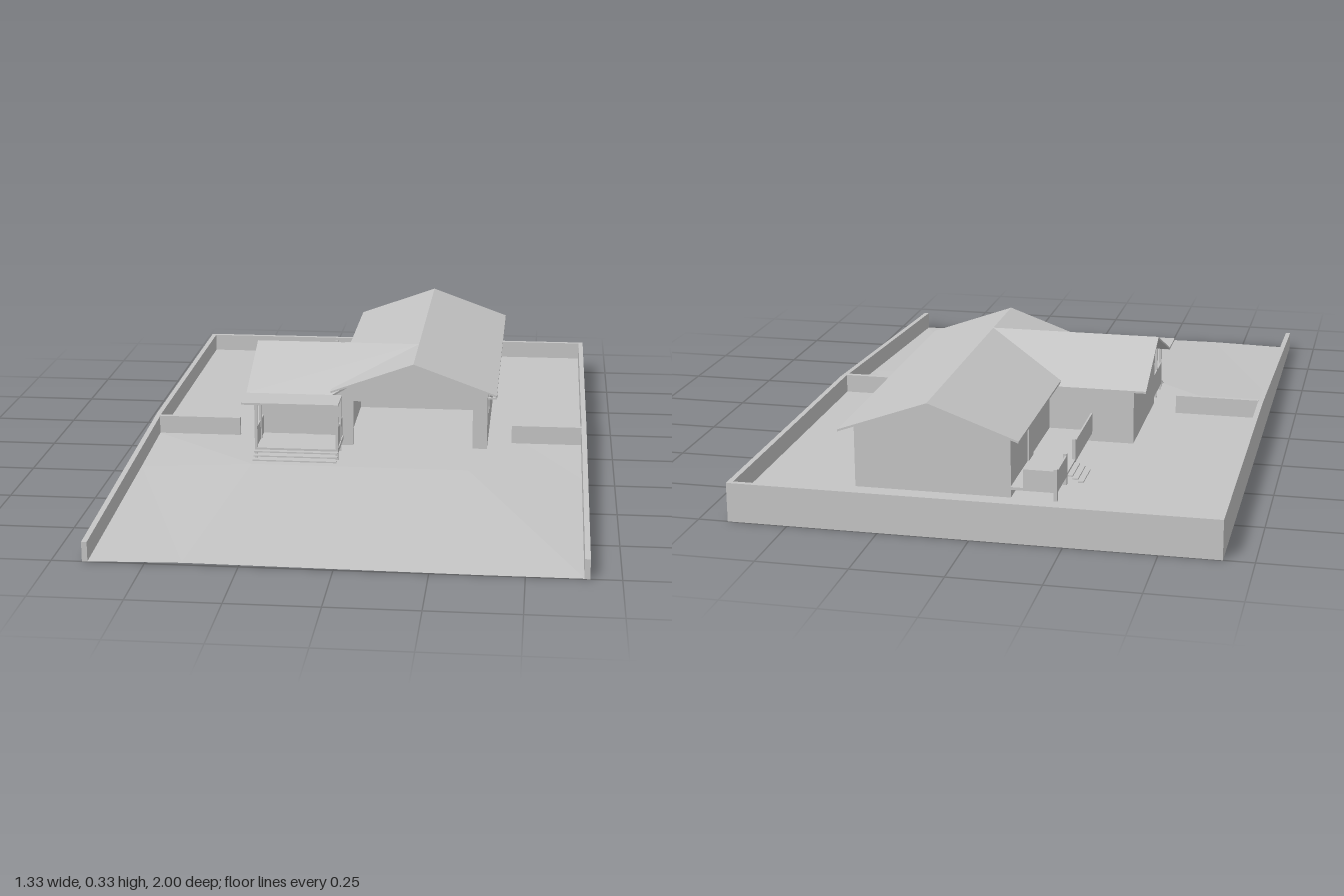
import * as THREE from 'three';

export function createModel() {
  const model = new THREE.Group();
  const grey = new THREE.MeshStandardMaterial({ color: 0xc4c4c4, side: THREE.DoubleSide });
  grey.name = 'plain grey';

  function add(name, geometry) {
    const mesh = new THREE.Mesh(geometry, grey);
    mesh.name = name;
    model.add(mesh);
    return mesh;
  }

  // Box given by its limits on each axis
  function box(name, x0, x1, y0, y1, z0, z1) {
    const g = new THREE.BoxGeometry(x1 - x0, y1 - y0, z1 - z0);
    g.translate((x0 + x1) / 2, (y0 + y1) / 2, (z0 + z1) / 2);
    return add(name, g);
  }

  const rect = (a, b, c, d) => [[a, c], [b, c], [b, d], [a, d]];
  function outline(points, holes = []) {
    const s = new THREE.Shape(points.map(p => new THREE.Vector2(...p)));
    for (const h of holes) s.holes.push(new THREE.Path(h.map(p => new THREE.Vector2(...p))));
    return s;
  }

  // Upright wall from an outline: across x starting at z = at, or along z starting at x = at
  function wall(name, axis, at, points, holes, depth = 0.012) {
    const g = new THREE.ExtrudeGeometry(outline(points, holes), { depth, bevelEnabled: false });
    if (axis === 'x') g.translate(0, 0, at);
    else g.rotateY(-Math.PI / 2).translate(at + depth, 0, 0);
    return add(name, g);
  }

  function surface(name, positions) {
    const g = new THREE.BufferGeometry();
    g.setAttribute('position', new THREE.Float32BufferAttribute(positions, 3));
    g.computeVertexNormals();
    return add(name, g);
  }

  // Thin roof sheet; corners run counterclockwise seen from above
  function sheet(name, corners, t = 0.006) {
    const pos = [];
    const n = corners.length;
    const low = corners.map(([x, y, z]) => [x, y - t, z]);
    for (let i = 1; i < n - 1; i++) {
      pos.push(...corners[0], ...corners[i], ...corners[i + 1]);
      pos.push(...low[0], ...low[i + 1], ...low[i]);
    }
    for (let i = 0; i < n; i++) {
      const j = (i + 1) % n;
      pos.push(...low[i], ...low[j], ...corners[j], ...low[i], ...corners[j], ...corners[i]);
    }
    return surface(name, pos);
  }

  // Level yard, open below the rooms
  const G = 0.055;
  const yard = new THREE.ShapeGeometry(outline(
    [[-0.653, -0.986], [0.653, -0.986], [0.653, 0.03], [0.48, 0.03], [0.32, 0.31], [-0.32, 0.31], [-0.4, 0.03], [-0.653, 0.03]],
    [rect(-0.06, 0.356, -0.8, -0.315), rect(-0.31, -0.07, -0.29, 0.09)],
  ));
  add('yard', yard.rotateX(Math.PI / 2).translate(0, G, 0));

  // Ground falling away to the front
  const rows = [
    [[-0.653, G, 0.03], [-0.4, G, 0.03], [0.48, G, 0.03], [0.653, G, 0.03]],
    [[-0.653, 0.038, 0.31], [-0.32, G, 0.31], [0.32, G, 0.31], [0.653, 0.038, 0.31]],
    [[-0.653, 0.001, 1], [-0.4, 0.006, 1], [0.38, 0.001, 1], [0.653, 0.001, 1]],
  ];
  const slope = [];
  for (const [r, c] of [[0, 0], [0, 2], [1, 0], [1, 1], [1, 2]]) {
    const [a, b, d, e] = [rows[r][c], rows[r + 1][c], rows[r + 1][c + 1], rows[r][c + 1]];
    slope.push(...a, ...b, ...d, ...a, ...d, ...e);
  }
  surface('frontSlope', slope);

  // Boundary walls
  const sideProfile = [[-1, 0], [1, 0], [1, G], [0, 0.11], [-1, 0.11]];
  wall('boundaryWallRight', 'z', -0.667, sideProfile, [], 0.015);
  wall('boundaryWallLeft', 'z', 0.652, sideProfile, [], 0.015);
  box('boundaryWallBack', -0.653, 0.653, 0, 0.11, -1, -0.985);
  box('yardWallRight', -0.653, -0.4, 0, 0.11, 0.014, 0.03);
  box('yardWallLeft', 0.44, 0.653, 0, 0.11, 0.018, 0.034);

  // Main house walls, with open garage at the front
  const gable = [[-0.07, 0], [0.367, 0], [0.367, 0.236], [0.145, 0.317], [-0.07, 0.238]];
  wall('garageFront', 'x', 0.088, gable, [rect(-0.04, 0.323, G, 0.195)]);
  wall('garageBackWall', 'x', -0.32, gable);
  wall('houseBackWall', 'x', -0.81, gable);
  wall('houseLeftWall', 'z', 0.355, rect(-0.81, 0.1, 0, 0.236), [rect(-0.1, 0.01, 0.13, 0.2)]);
  wall('houseRightWall', 'z', -0.07, rect(-0.81, 0.1, 0, 0.238));
  box('backDoor', -0.074, -0.07, 0.085, 0.2, -0.6, -0.54);

  // Wing walls
  wall('wingGable', 'z', -0.32, [[-0.3, 0], [0.1, 0], [0.1, 0.23], [-0.1, 0.317], [-0.3, 0.23]]);
  wall('wingFront', 'x', 0.088, rect(-0.32, -0.07, 0, 0.23));
  wall('wingBack', 'x', -0.3, rect(-0.32, -0.07, 0, 0.23));
  box('frontDoor', -0.18, -0.08, 0.085, 0.22, 0.1, 0.103);

  // Roofs
  const R = 0.326, E = 0.236;
  sheet('mainRoofLeft', [[0.145, R, 0.142], [0.395, E, 0.142], [0.395, E, -0.868], [0.145, R, -0.868]]);
  sheet('mainRoofRight', [[-0.105, E, 0.142], [0.145, R, 0.142], [0.145, R, -0.868], [-0.105, E, -0.868]]);
  sheet('wingRoofFront', [[-0.36, 0.225, 0.142], [-0.1, 0.225, 0.142], [0.145, R, -0.1], [-0.36, R, -0.1]]);
  sheet('wingRoofBack', [[-0.36, R, -0.1], [0.145, R, -0.1], [-0.1, 0.225, -0.33], [-0.36, 0.225, -0.33]]);

  // Gutter outlet on the eave
  box('gutterPipe', 0.367, 0.395, 0.208, 0.213, 0.08, 0.086);
  box('gutterDrop', 0.39, 0.395, 0.208, 0.236, 0.08, 0.086);

  // Front porch with flat roof, posts, railings and steps
  box('frontPorchDeck', -0.32, -0.07, 0.075, 0.087, 0.1, 0.25);
  box('frontPorchRoof', -0.36, -0.07, 0.219, 0.225, 0.14, 0.25);
  for (const x of [-0.32, -0.078]) {
    for (const z of [0.155, 0.242]) box('frontPorchPost', x, x + 0.008, G, 0.222, z, z + 0.008);
    box('frontPorchRailing', x, x + 0.005, 0.087, 0.145, 0.1, 0.25);
  }
  for (let i = 0; i < 3; i++) {
    const y = 0.081 - i * 0.008, z = 0.25 + i * 0.0165;
    box('frontStep', -0.32, -0.07, y - 0.004, y, z, z + 0.0165);
  }

  // Side porch with railings, posts and steps
  box('sidePorchDeck', -0.198, -0.07, 0.079, 0.087, -0.815, -0.3);
  for (const [a, b] of [[-0.815, -0.68], [-0.56, -0.3]]) {
    box('sidePorchRailing', -0.198, -0.193, 0.087, 0.14, a, b);
  }
  box('sidePorchEndRailing', -0.198, -0.105, 0.087, 0.14, -0.815, -0.81);
  for (const z of [-0.815, -0.685, -0.56]) {
    box('sidePorchPost', -0.198, -0.188, G, 0.145, z, z + 0.01);
  }
  for (let i = 0; i < 3; i++) {
    const y = 0.081 - i * 0.008, x = -0.198 - i * 0.015;
    box('sideStep', x - 0.015, x, y - 0.004, y, -0.675, -0.565);
  }

  return model;
}
